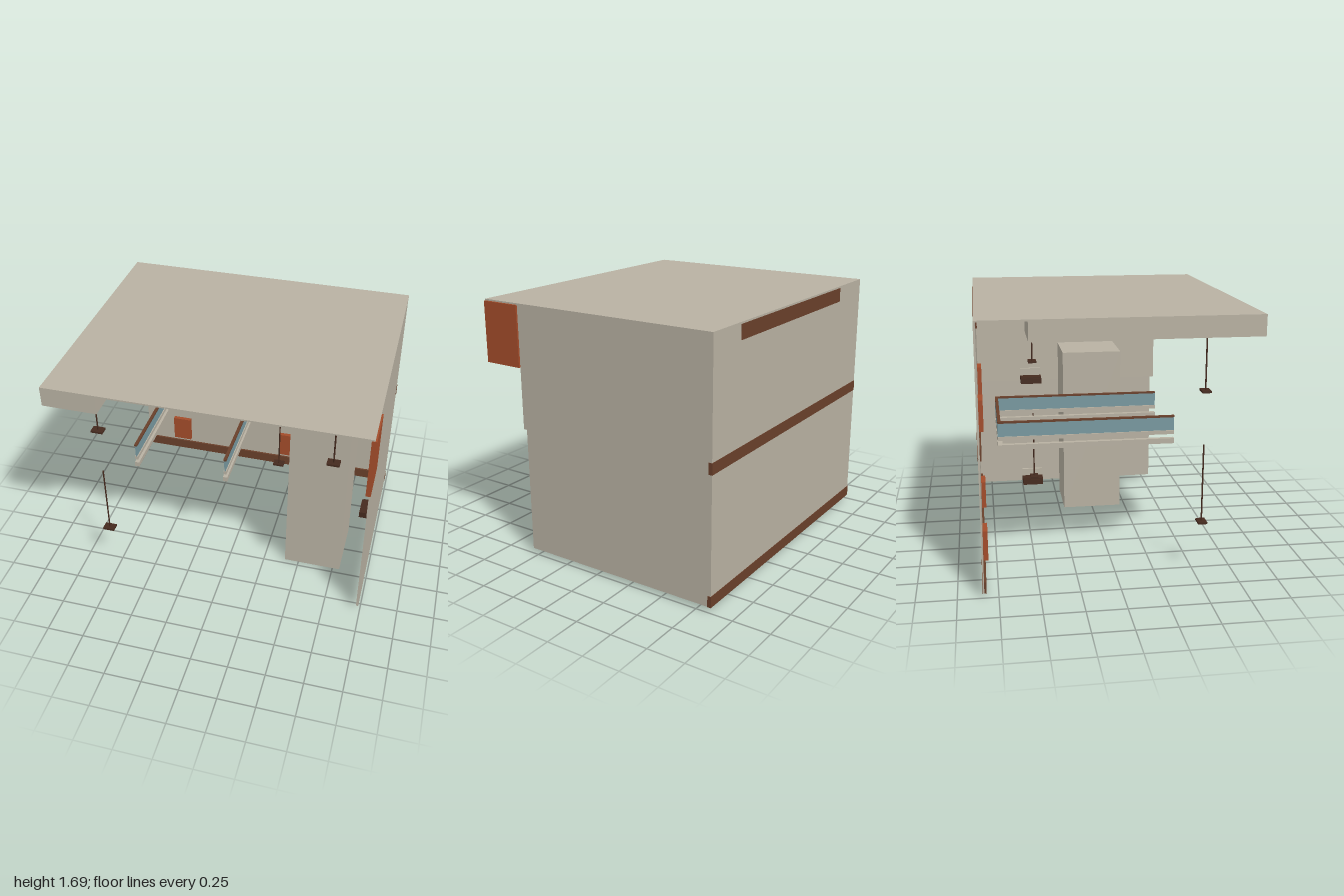
import * as THREE from 'three';

const paint = (name, hex) => {
  const m = new THREE.MeshStandardMaterial({ color: hex });
  m.name = name;
  return m;
};

export function createModel() {
  const plaster = paint('plaster', 0xb8b1a2);
  const timber = paint('timber', 0x693f2a);
  const darkTimber = paint('darkTimber', 0x452a1e);
  const orange = paint('orange', 0xa34c2a);
  const glass = paint('glass', 0x7899a0);

  const model = new THREE.Group();
  model.name = 'houseSection';

  // Box given by its limits along each axis
  const box = (name, mat, [x0, x1], [y0, y1], [z0, z1], parent = model) => {
    const mesh = new THREE.Mesh(new THREE.BoxGeometry(x1 - x0, y1 - y0, z1 - z0), mat);
    mesh.position.set((x0 + x1) / 2, (y0 + y1) / 2, (z0 + z1) / 2);
    mesh.name = name;
    parent.add(mesh);
    return mesh;
  };

  // Shell: roof, two-storey back wall and side wall
  box('roof', plaster, [-1, 0.99], [1.68, 1.69], [-0.845, 0.845]);
  box('lowerBackWall', plaster, [-1, 0.985], [0.03, 0.8], [-0.845, -0.837]);
  box('upperBackWall', plaster, [-1, 0.985], [0.8, 1.68], [-0.845, -0.833]);
  box('lowerSideWall', plaster, [0.972, 0.988], [0.03, 0.87], [-0.845, 0.55]);
  box('upperSideWall', plaster, [0.972, 0.988], [0.87, 1.68], [-0.845, 0.575]);
  box('ceilingBox', plaster, [-1, -0.65], [1.56, 1.682], [-0.54, 0.845]);
  box('column', plaster, [0.4, 0.8], [0, 1.205], [-0.213, 0.213]);
  box('sidePanel', orange, [0.97, 1], [1.28, 1.679], [0.575, 0.845]);

  // Timber bands through the back wall
  for (const y of [0.03, 0.87]) {
    box('skirting', timber, [-1, 0.991], [y, y + 0.073], [-0.848, -0.823]);
  }
  box('topBand', timber, [-0.655, 0.69], [1.585, 1.678], [-0.847, -0.823]);

  // Wall pictures and low seats, repeated on each storey
  for (const y of [0.03, 0.87]) {
    for (const x of [-0.77, 0.122]) {
      box('wallPicture', orange, [x, x + 0.14], [y + 0.11, y + 0.305], [-0.835, -0.805]);
    }
    const seat = new THREE.Group();
    seat.name = 'seat';
    box('seatBase', darkTimber, [0.855, 0.96], [y, y + 0.042], [-0.5, -0.34], seat);
    box('seatTop', darkTimber, [0.865, 0.965], [y + 0.042, y + 0.05], [-0.5, -0.34], seat);
    box('seatBack', plaster, [0.945, 0.965], [y + 0.05, y + 0.105], [-0.5, -0.34], seat);
    model.add(seat);
  }

  // Hanging lamps: thin rod with a flat plate
  const lamp = (x, z, bottom, top) => {
    const g = new THREE.Group();
    g.name = 'hangingLamp';
    const rod = new THREE.Mesh(new THREE.CylinderGeometry(0.005, 0.005, top - bottom, 8), darkTimber);
    rod.position.set(x, (top + bottom) / 2, z);
    rod.name = 'lampRod';
    g.add(rod);
    box('lampPlate', darkTimber, [x - 0.04, x + 0.04], [bottom, bottom + 0.013], [z - 0.029, z + 0.029], g);
    model.add(g);
  };
  for (const [x, z] of [[-0.8, 0.545], [0.195, -0.45]]) {
    lamp(x, z, 0.333, 0.85);
    lamp(x, z, 1.188, 1.68);
  }
  lamp(0.74, 0.575, 1.26, 1.68);

  // Stairwell balustrade: two sides and the rear
  const zBack = -0.72, zFront = 0.395;
  const layers = [
    ['lowerBeam', plaster, 0.812, 0.846, 0.015],
    ['upperBeam', plaster, 0.872, 0.897, 0.01],
    ['glassPanel', glass, 0.897, 0.983, 0.004],
    ['handrail', timber, 0.983, 0.994, 0.01],
  ];
  const rails = new THREE.Group();
  rails.name = 'balustrade';
  for (const [name, mat, y0, y1, h] of layers) {
    for (const x of [-0.615, 0.005]) {
      box(name, mat, [x - h, x + h], [y0, y1], [zBack, zFront], rails);
    }
    box(name, mat, [-0.615 + h, 0.005 - h], [y0, y1], [zBack, zBack + 2 * h], rails);
  }
  model.add(rails);

  return model;
}
